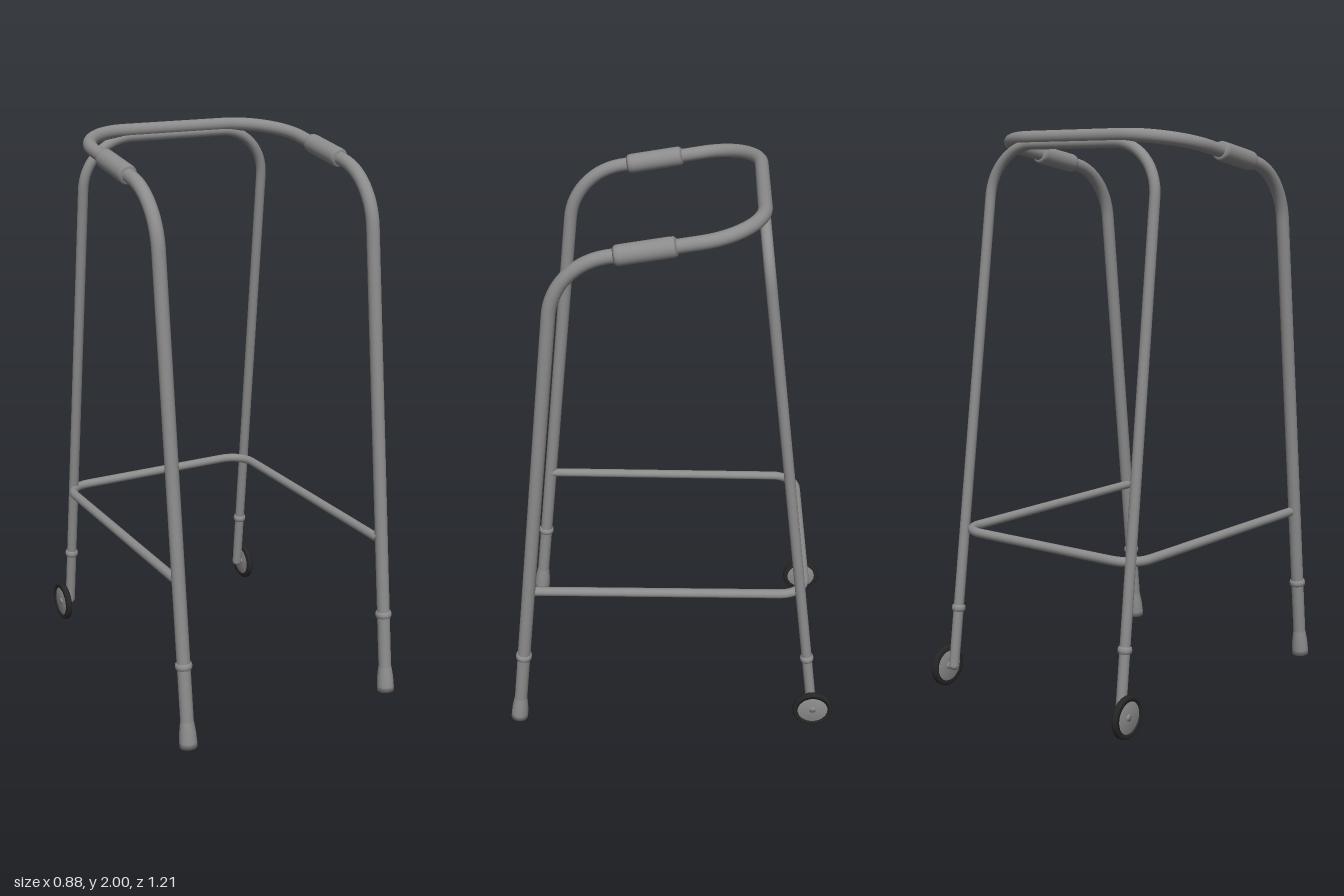
import * as THREE from 'three';

const V = (x, y, z) => new THREE.Vector3(x, y, z);

// Path through corner points, each inner corner rounded by its tangent length
function roundedPath(points, lengths) {
  const path = new THREE.CurvePath();
  let from = points[0];
  for (let i = 1; i < points.length - 1; i++) {
    const p = points[i], t = lengths[i - 1];
    const a = points[i - 1].clone().sub(p).normalize();
    const b = points[i + 1].clone().sub(p).normalize();
    const turn = Math.PI - a.angleTo(b);
    const k = t * (1 - (4 / 3) * Math.tan(turn / 4) / Math.tan(turn / 2));
    const start = p.clone().addScaledVector(a, t), end = p.clone().addScaledVector(b, t);
    path.add(new THREE.LineCurve3(from, start));
    path.add(new THREE.CubicBezierCurve3(start, p.clone().addScaledVector(a, k), p.clone().addScaledVector(b, k), end));
    from = end;
  }
  path.add(new THREE.LineCurve3(from, points[points.length - 1]));
  return path;
}

export function createModel() {
  const group = new THREE.Group();
  const metal = new THREE.MeshStandardMaterial({ color: 0x8c8c8c });
  metal.name = 'grey metal';
  const rubber = new THREE.MeshStandardMaterial({ color: 0x262626 });
  rubber.name = 'black rubber';

  const add = (name, geometry, material = metal) => {
    const mesh = new THREE.Mesh(geometry, material);
    mesh.name = name;
    group.add(mesh);
    return mesh;
  };
  const tube = (name, points, lengths, radius, segments) =>
    add(name, new THREE.TubeGeometry(roundedPath(points, lengths), segments, radius, 16));

  // Lathe part whose [radius, distance] profile runs along the line from a towards b
  const turned = (name, a, b, profile, material = metal) => {
    const pts = profile.map(([r, d]) => new THREE.Vector2(r, d));
    const mesh = add(name, new THREE.LatheGeometry(pts, 24), material);
    mesh.position.copy(a);
    mesh.quaternion.setFromUnitVectors(V(0, 1, 0), b.clone().sub(a).normalize());
    return mesh;
  };

  // Main frame: front legs, sloping hand rails and curved rear rail
  const X = 0.407;
  const foot = s => V(s * X, 0.004, 0.574);
  const shoulder = s => V(s * X, 1.862, 0.37);
  const corner = s => V(s * X, 1.976, -0.296);
  tube('mainFrame', [foot(-1), shoulder(-1), corner(-1), corner(1), shoulder(1), foot(1)],
    [0.175, 0.205, 0.205, 0.175], 0.0235, 260);

  // Rear frame: narrower hoop with slightly splayed legs
  const rearFoot = s => V(0.0075 + s * 0.387, 0.085, -0.524);
  const rearCorner = s => V(0.0075 + s * 0.364, 1.953, -0.295);
  tube('rearFrame', [rearFoot(-1), rearCorner(-1), rearCorner(1), rearFoot(1)], [0.18, 0.18], 0.0185, 200);

  // Lower brace running round three sides
  tube('lowerBrace', [V(-0.4, 0.585, 0.51), V(-0.397, 0.585, -0.48), V(0.387, 0.585, -0.48), V(0.394, 0.585, 0.51)],
    [0.09, 0.09], 0.0165, 120);

  for (const s of [-1, 1]) {
    const side = s > 0 ? 'left' : 'right';

    // Hand grip
    turned(side + 'Grip', V(s * X, 1.895, 0.177), corner(s),
      [[0, 0], [0.027, 0], [0.033, 0.008], [0.034, 0.02], [0.034, 0.18], [0.033, 0.192], [0.027, 0.2], [0, 0.2]]);

    // Flared foot tip and height-adjustment collar on the front leg
    turned(side + 'FootTip', foot(s), shoulder(s),
      [[0, 0], [0.031, 0], [0.031, 0.02], [0.029, 0.055], [0.025, 0.085], [0.0235, 0.095]]);
    turned(side + 'FrontCollar', foot(s), shoulder(s),
      [[0.022, 0.283], [0.028, 0.285], [0.03, 0.295], [0.028, 0.305], [0.022, 0.307]]);

    // Collar and end cap on the rear leg
    turned(side + 'RearCollar', rearFoot(s), rearCorner(s),
      [[0.017, 0.2], [0.023, 0.203], [0.025, 0.213], [0.023, 0.223], [0.017, 0.226]]);
    const cap = add(side + 'RearLegEnd', new THREE.SphereGeometry(0.0185, 16, 10));
    cap.position.copy(rearFoot(s));

    // Wheel: rubber tyre, grey disc and axle, mounted outside the rear leg
    const wheelX = 0.0075 + s * 0.417;
    const hub = V(wheelX, 0.08, -0.528), outward = V(wheelX + s, 0.08, -0.528);
    turned(side + 'Tyre', hub, outward,
      [[0.056, -0.011], [0.069, -0.011], [0.074, -0.006], [0.074, 0.006], [0.069, 0.011], [0.056, 0.011], [0.056, -0.011]], rubber);
    turned(side + 'WheelDisc', hub, outward, [[0, -0.007], [0.057, -0.007], [0.057, 0.007], [0, 0.007]]);
    turned(side + 'Axle', hub, outward, [[0, -0.034], [0.012, -0.034], [0.012, 0.01], [0, 0.01]]);
  }
  return group;
}
